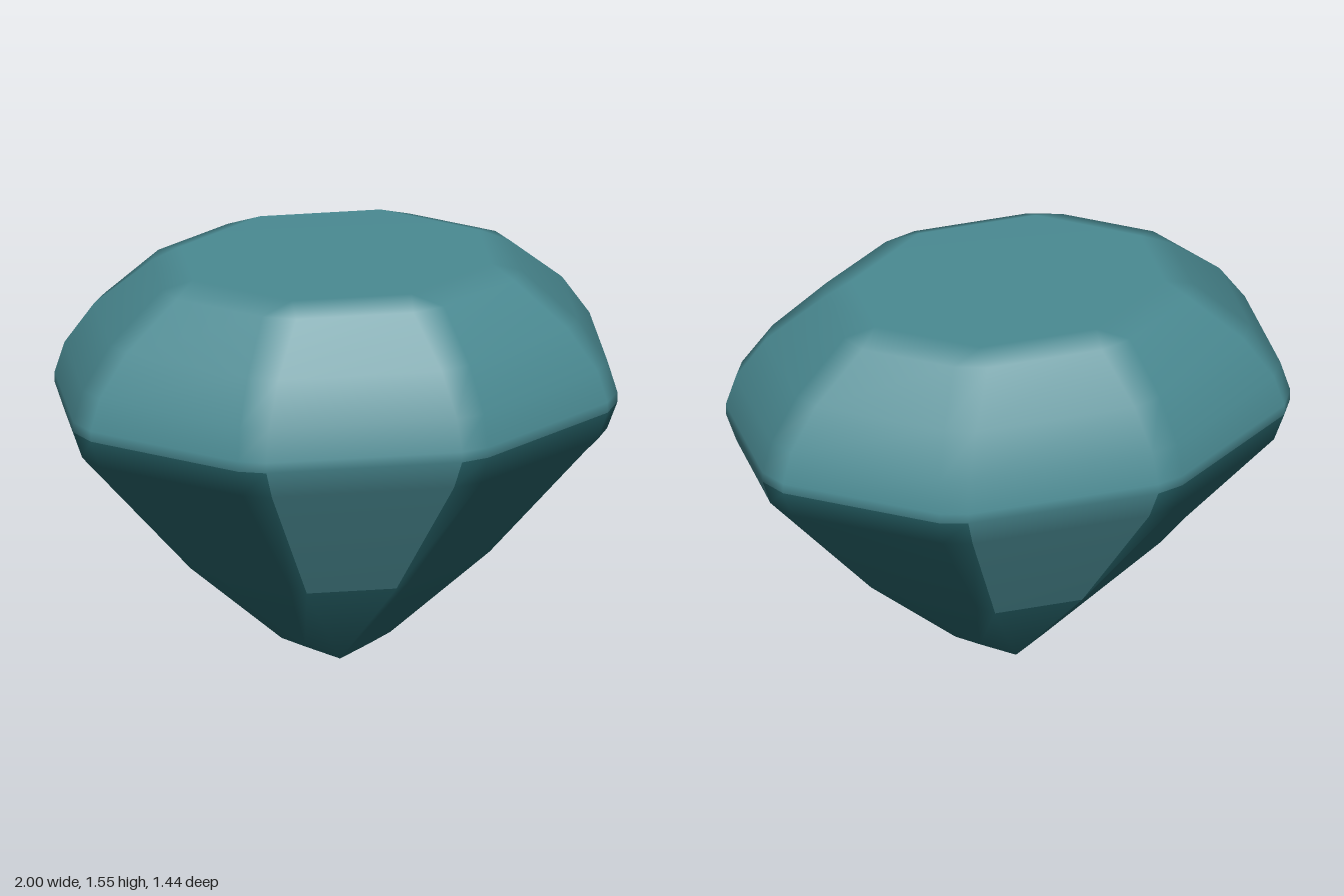
import * as THREE from 'three';

// Each level of the gem: height, then one quadrant of its outline as [x, z],
// from the front facet's corner round to the side facet's corner.
// An optional third value overrides the height.
const LEVELS = [
  [0, [[0, 0.105], [0.12, 0.045, 0.03], [0.12, 0.045, 0.03], [0.2, 0, 0.05]]],
  [0.39, [[0.165, 0.4], [0.22, 0.345], [0.48, 0.155], [0.55, 0.105]]],
  [0.9, [[0.335, 0.69], [0.44, 0.66], [0.915, 0.32], [0.965, 0.22]]],
  [1.01, [[0.36, 0.72], [0.46, 0.69], [0.95, 0.335], [1, 0.24]]],
  [1.05, [[0.36, 0.72], [0.46, 0.69], [0.95, 0.335], [1, 0.24]]],
  [1.17, [[0.345, 0.69], [0.45, 0.66], [0.915, 0.32], [0.965, 0.23]]],
  [1.33, [[0.3, 0.615], [0.41, 0.575], [0.81, 0.285], [0.86, 0.2]]],
  [1.51, [[0.215, 0.48], [0.335, 0.44], [0.62, 0.235], [0.66, 0.14]]],
  [1.55, [[0.22, 0.4], [0.22, 0.4], [0.55, 0.16], [0.55, 0.16]]],
];
const GIRDLE = 3;

export function createModel() {
  const light = new THREE.MeshStandardMaterial({ color: 0x4a8a92 });
  light.name = 'light teal';
  const dark = new THREE.MeshStandardMaterial({ color: 0x27646a });
  dark.name = 'dark teal';

  // Shared vertices, merged by position
  const points = [], normals = [], lookup = new Map();
  const vertex = (x, y, z) => {
    const key = [x, y, z].map((v) => Math.round(v * 1000)).join();
    if (!lookup.has(key)) {
      lookup.set(key, points.length);
      points.push(new THREE.Vector3(x, y, z));
      normals.push(new THREE.Vector3());
    }
    return lookup.get(key);
  };

  // Mirror a quadrant into a full ring, running front, right, back, left
  const rings = LEVELS.map(([y, quad]) => {
    const back = [...quad].reverse();
    const place = (list, sx, sz) => list.map(([x, z, h = y]) => vertex(sx * x, h, sz * z));
    return [...place(quad, 1, 1), ...place(back, 1, -1), ...place(quad, -1, -1), ...place(back, -1, 1)];
  });

  // Add a facet; large facets dominate the normals so they stay flat
  const parts = { crown: [], mainFacets: [], pavilion: [] };
  const addFace = (part, loop) => {
    const ids = loop.filter((id, i) => id !== loop[(i + 1) % loop.length]);
    if (ids.length < 3) return;
    const n = new THREE.Vector3();
    for (let i = 1; i < ids.length - 1; i++) {
      parts[part].push(ids[0], ids[i], ids[i + 1]);
      const a = points[ids[i]].clone().sub(points[ids[0]]);
      const b = points[ids[i + 1]].clone().sub(points[ids[0]]);
      n.add(a.cross(b));
    }
    n.multiplyScalar(n.length());
    new Set(ids).forEach((id) => normals[id].add(n));
  };

  // Bands of facets between the levels
  for (let r = 0; r < rings.length - 1; r++) {
    for (let i = 0; i < 16; i++) {
      const j = (i + 1) % 16;
      const isMain = i % 4 === 3 && r > 0;
      const part = r >= GIRDLE ? 'crown' : isMain ? 'mainFacets' : 'pavilion';
      addFace(part, [rings[r][i], rings[r][j], rings[r + 1][j], rings[r + 1][i]]);
    }
  }
  // Flat table on top and the small ridge at the bottom
  addFace('crown', rings[rings.length - 1]);
  addFace('pavilion', [...rings[0]].reverse());

  const gem = new THREE.Group();
  gem.name = 'gem';
  normals.forEach((n) => n.normalize());
  for (const [name, index] of Object.entries(parts)) {
    const geometry = new THREE.BufferGeometry();
    const flatten = (list) => new THREE.Float32BufferAttribute(index.flatMap((id) => list[id].toArray()), 3);
    geometry.setAttribute('position', flatten(points));
    geometry.setAttribute('normal', flatten(normals));
    const mesh = new THREE.Mesh(geometry, name === 'pavilion' ? dark : light);
    mesh.name = name;
    gem.add(mesh);
  }
  return gem;
}
